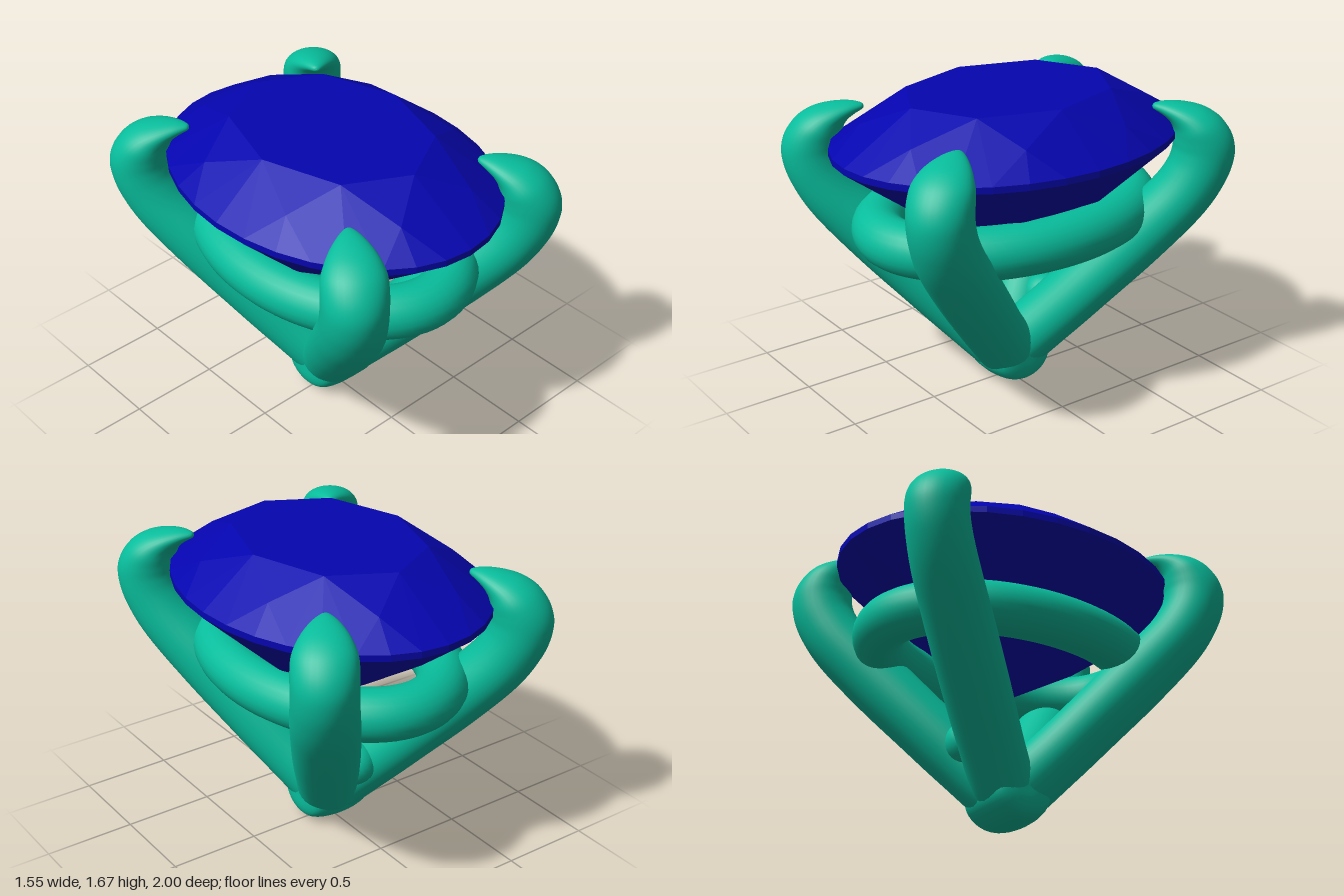
import * as THREE from 'three';
import { ConvexGeometry } from 'three/addons/geometries/ConvexGeometry.js';

const metal = new THREE.MeshStandardMaterial({ color: 0x08bd9c });
const blue = new THREE.MeshStandardMaterial({ color: 0x0505b0, flatShading: true });

// Prong sections: outer edge (distance, height), inner edge (distance, height), half width
const SECTIONS = [
  [-0.08, 0.09, -0.08, 0.09, 0],
  [0.02, 0.05, -0.12, 0.19, 0.11],
  [0.122, 0.048, -0.107, 0.277, 0.165],
  [0.36, 0.265, 0.128, 0.497, 0.172],
  [0.582, 0.483, 0.346, 0.719, 0.178],
  [0.815, 0.715, 0.57, 0.955, 0.178],
  [1.04, 0.965, 0.765, 1.15, 0.174],
  [1.155, 1.15, 0.845, 1.265, 0.168],
  [1.2, 1.3, 0.87, 1.34, 0.165],
  [1.187, 1.41, 0.872, 1.39, 0.165],
  [1.125, 1.505, 0.872, 1.43, 0.16],
  [1.04, 1.562, 0.865, 1.465, 0.14],
  [0.94, 1.59, 0.84, 1.505, 0.108],
  [0.84, 1.6, 0.8, 1.537, 0.065],
  [0.772, 1.592, 0.762, 1.56, 0.024],
  [0.755, 1.575, 0.755, 1.575, 0],
];

// Loft of elliptical sections lying in a vertical plane that points outward along (dx, dz)
function prongGeometry(dx, dz) {
  const curve = (pick) => new THREE.CatmullRomCurve3(SECTIONS.map(pick), false, 'catmullrom', 0.5);
  const outer = curve((s) => new THREE.Vector3(s[0], s[1], s[4]));
  const inner = curve((s) => new THREE.Vector3(s[2], s[3], s[4]));
  const rows = 90, sides = 32, positions = [], index = [];
  for (let i = 0; i <= rows; i++) {
    const o = outer.getPoint(i / rows), n = inner.getPoint(i / rows);
    for (let j = 0; j < sides; j++) {
      const a = (j / sides) * Math.PI * 2;
      const c = Math.cos(a) / 2, w = o.z * Math.sin(a);
      const s = (o.x + n.x) / 2 + (o.x - n.x) * c;
      const y = (o.y + n.y) / 2 + (o.y - n.y) * c;
      positions.push(s * dx - w * dz, y, s * dz + w * dx);
      if (i < rows) {
        const k = (j + 1) % sides, r = i * sides, q = r + sides;
        index.push(r + j, q + j, r + k, q + j, q + k, r + k);
      }
    }
  }
  const g = new THREE.BufferGeometry();
  g.setAttribute('position', new THREE.Float32BufferAttribute(positions, 3));
  g.setIndex(index);
  g.computeVertexNormals();
  return g;
}

// Oval brilliant cut: the hull of concentric oval rings of corners
function gemGeometry() {
  const points = [new THREE.Vector3(0, 0.735, 0)];
  const ring = (count, size, y, turn) => {
    for (let i = 0; i < count; i++) {
      const a = ((i + turn) / count) * Math.PI * 2;
      points.push(new THREE.Vector3(0.765 * size * Math.sin(a), y, size * Math.cos(a)));
    }
  };
  ring(8, 0.6, 1.675, 0);      // table
  ring(8, 0.82, 1.56, 0.5);    // crown
  ring(32, 0.995, 1.44, 0);    // girdle
  ring(32, 0.995, 1.405, 0);
  ring(8, 0.62, 1.1, 0.5);     // pavilion
  return new ConvexGeometry(points);
}

export function createModel() {
  const model = new THREE.Group();
  const add = (name, geometry, material) => {
    const mesh = new THREE.Mesh(geometry, material);
    mesh.name = name;
    model.add(mesh);
    return mesh;
  };

  add('gemstone', gemGeometry(), blue);

  // Four claws rising from the foot, with a fillet in the crotch of each pair
  for (const [sz, end] of [[1, 'front'], [-1, 'back']]) {
    for (const [sx, side] of [[1, 'Left'], [-1, 'Right']])
      add(`${end}${side}Prong`, prongGeometry(sx * 0.59, sz * 0.807), metal);
    const fillet = add(`${end}Fillet`, new THREE.SphereGeometry(0.12, 24, 16), metal);
    fillet.position.set(0, 0.425, sz * 0.25);
  }

  // Oval gallery rail joining the prongs
  const oval = [];
  for (let i = 0; i < 24; i++) {
    const a = (i / 24) * Math.PI * 2;
    oval.push(new THREE.Vector3(0.51 * Math.cos(a), 0.99, 0.755 * Math.sin(a)));
  }
  add('galleryRail', new THREE.TubeGeometry(new THREE.CatmullRomCurve3(oval, true), 96, 0.14, 24, true), metal);

  // Rounded foot lying along x
  const profile = new THREE.SplineCurve([
    [0, -0.2], [0.075, -0.197], [0.132, -0.17], [0.157, -0.1], [0.165, 0],
    [0.157, 0.1], [0.132, 0.17], [0.075, 0.197], [0, 0.2],
  ].map(([x, y]) => new THREE.Vector2(x, y))).getPoints(32);
  profile.forEach((p) => { p.x = Math.max(p.x, 0); });
  const foot = add('foot', new THREE.LatheGeometry(profile, 32), metal);
  foot.rotation.z = Math.PI / 2;
  foot.scale.z = 1.18;
  foot.position.y = 0.168;
  return model;
}
